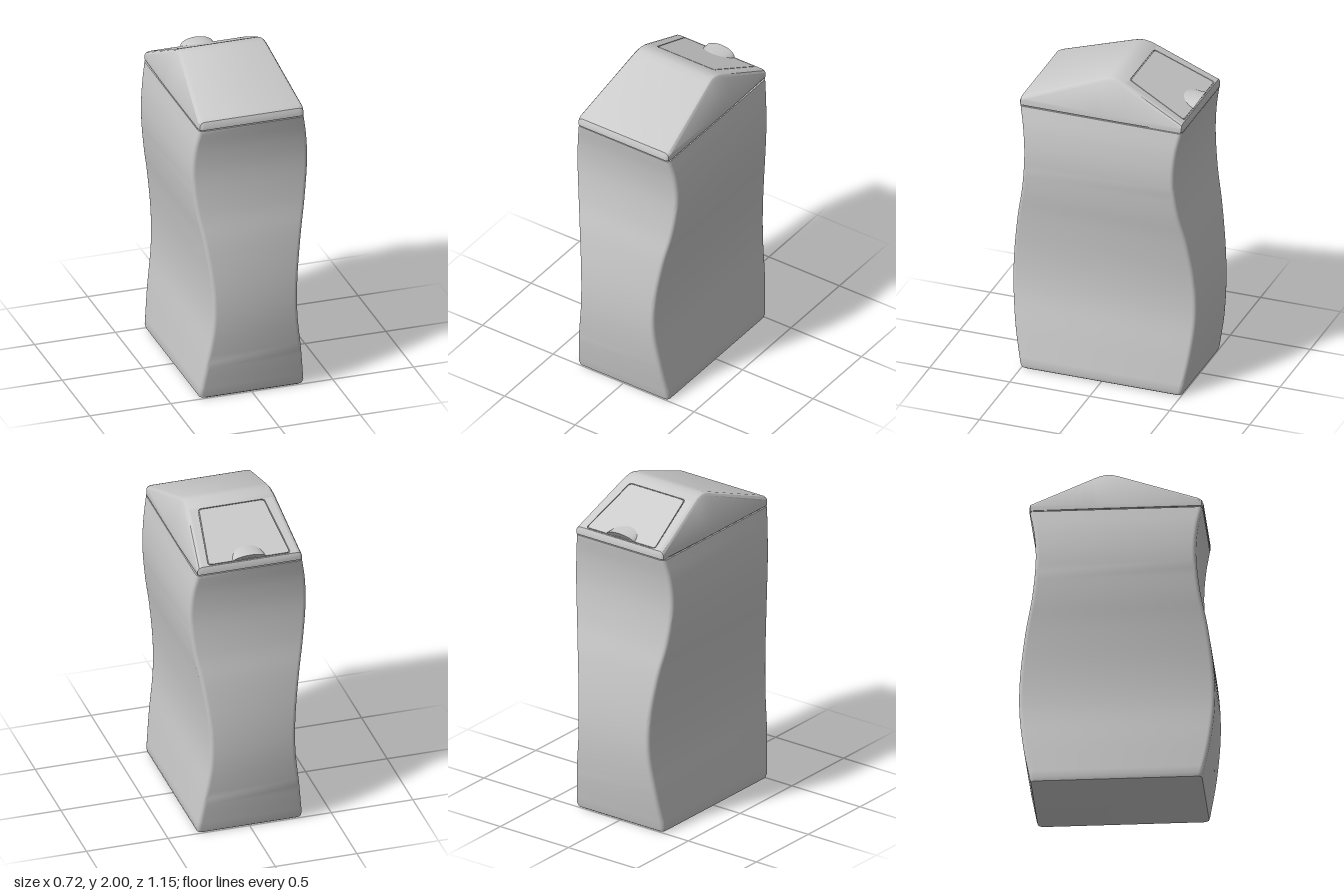
import * as THREE from 'three';
import { toCreasedNormals } from 'three/addons/utils/BufferGeometryUtils.js';

const V = (x, y, z) => new THREE.Vector3(x, y, z);
const mat = new THREE.MeshStandardMaterial({ color: 0xcccccc });

function add(parent, name, geo) {
  const m = new THREE.Mesh(geo, mat);
  m.name = name;
  parent.add(m);
  return m;
}

// Skin closed rings of points and cap both ends; skip(i, j) leaves a quad open
function loft(rings, crease = 0.6, skip = () => false) {
  const n = rings[0].length, pos = [], idx = [];
  rings.flat().forEach((p) => pos.push(p.x, p.y, p.z));
  for (let i = 0; i < rings.length - 1; i++) {
    for (let j = 0; j < n; j++) {
      if (skip(i, j)) continue;
      const a = i * n + j, b = i * n + (j + 1) % n;
      idx.push(a, b, b + n, a, b + n, a + n);
    }
  }
  const last = (rings.length - 1) * n;
  for (let j = 1; j < n - 1; j++) {
    idx.push(0, j + 1, j, last, last + j, last + j + 1);
  }
  const g = new THREE.BufferGeometry();
  g.setAttribute('position', new THREE.Float32BufferAttribute(pos, 3));
  g.setIndex(idx);
  return toCreasedNormals(g, crease);
}

// Horizontal rounded rectangle
function bodyRing(hx, hz, y, r) {
  const pts = [];
  [[1, -1], [-1, -1], [-1, 1], [1, 1]].forEach(([sx, sz], q) => {
    for (let k = 0; k <= 4; k++) {
      const t = (q + k / 4) * Math.PI / 2;
      pts.push(V(sx * (hx - r) + r * Math.cos(t), y, sz * (hz - r) - r * Math.sin(t)));
    }
  });
  return pts;
}

// Lid cross-section at depth z with roof height h
const lidHalf = (y) => 0.325 - Math.max(0, y - 1.785) * 0.27;
function lidRing([z, h, inset]) {
  const half = [
    [0.325, 1.75], [0.325, Math.min(1.78, h - 0.023)], [lidHalf(h - 0.02), h - 0.02],
    [lidHalf(h) - 0.006, h - 0.006], [lidHalf(h) - 0.022, h],
  ].map(([x, y]) => [x - inset, y]);
  return [...half.map(([x, y]) => V(x, y, z)),
    ...half.reverse().map(([x, y]) => V(-x, y, z))];
}

// Trapezoid with rounded corners, grown outward by g
function doorOutline(g, Type) {
  const c = [[-0.2 - g, 0.006 - g], [0.2 + g, 0.006 - g], [0.25 + g, 0.399 + g], [-0.25 - g, 0.399 + g]]
    .map(([x, y]) => new THREE.Vector2(x, y));
  const s = new Type();
  c.forEach((p, i) => {
    const toward = (q) => p.clone().add(q.clone().sub(p).setLength(0.02));
    const a = toward(c[(i + 3) % 4]), b = toward(c[(i + 1) % 4]);
    if (i) s.lineTo(a.x, a.y); else s.moveTo(a.x, a.y);
    s.quadraticCurveTo(p.x, p.y, b.x, b.y);
  });
  s.closePath();
  return s;
}

export function createModel() {
  const model = new THREE.Group();
  model.name = 'swingLidBin';

  // Body: the width and depth swell in opposite rhythm up the height
  const curve = new THREE.CatmullRomCurve3([
    [0.323, 0.03, 0.508], [0.295, 0.25, 0.548], [0.264, 0.5, 0.573], [0.266, 0.72, 0.568],
    [0.3, 1.0, 0.532], [0.336, 1.2, 0.492], [0.359, 1.43, 0.47], [0.35, 1.6, 0.48], [0.325, 1.742, 0.506],
  ].map((p) => V(...p)));
  const rings = [bodyRing(0.305, 0.49, 0, 0.02), bodyRing(0.317, 0.502, 0.008, 0.025)];
  curve.getPoints(40).forEach((p) => rings.push(bodyRing(p.x, p.z, p.y, 0.025)));
  add(model, 'body', loft(rings));

  // Recessed seam between body and lid
  add(model, 'seam', new THREE.BoxGeometry(0.63, 0.03, 0.99)).position.y = 1.746;

  // Lid: roof sections from back to front, left open where the door panel sits
  const lid = new THREE.Group();
  lid.name = 'lid';
  model.add(lid);
  const top = [-0.135, 1.975, 0], low = [-0.503, 1.797, 0.006];
  const sections = [
    [-0.51, 1.778, 0.018], low, top, [-0.1, 1.991, 0], [-0.06, 2, 0], [-0.03, 1.999, 0],
    [0.01, 1.987, 0], [0.475, 1.812, 0], [0.5, 1.798, 0.006], [0.51, 1.775, 0.018],
  ];
  add(lid, 'lidShell', loft(sections.map(lidRing), 0.5, (i, j) => i === 1 && j === 4));

  // Back slope: local x across, y down the slope, z outward
  const slope = new THREE.Group();
  slope.name = 'backSlope';
  lid.add(slope);
  const across = V(1, 0, 0);
  const down = V(0, low[1] - top[1], low[0] - top[0]);
  const len = down.length();
  down.normalize();
  const out = across.clone().cross(down);
  slope.applyMatrix4(new THREE.Matrix4().makeBasis(across, down, out).setPosition(0, top[1], top[0]));
  const topX = lidRing(top)[4].x, lowX = lidRing(low)[4].x;
  const frame = new THREE.Shape([[-topX, 0], [topX, 0], [lowX, len], [-lowX, len]]
    .map((p) => new THREE.Vector2(...p)));
  frame.holes.push(doorOutline(0.003, THREE.Path));
  const plate = (name, shape, depth, z) => {
    const g = new THREE.ExtrudeGeometry(shape, { depth, bevelEnabled: false, curveSegments: 6 });
    add(slope, name, g).position.z = z;
  };
  plate('doorFrame', frame, 0.01, -0.01);
  plate('door', doorOutline(-0.002, THREE.Shape), 0.01, -0.01);
  plate('doorSeat', doorOutline(0.003, THREE.Shape), 0.003, -0.012);

  // Finger tab: a shallow scoop flaring out from the lower door edge
  const slopeY = (z) => top[1] + (z - top[0]) * down.y / down.z;
  const tab = [];
  for (let k = 0; k <= 14; k++) {
    const t = k / 14 * Math.PI, s = Math.sin(t), x = 0.1 * Math.cos(t);
    const zb = -0.497 + 0.09 * s, y0 = slopeY(-0.497);
    tab.push([
      V(x, slopeY(zb), zb),
      V(x, y0 + (1.838 - y0) * s, -0.497 - 0.02 * s),
      V(x, y0 - 0.002, -0.497 + 0.01 * s),
    ]);
  }
  add(lid, 'fingerTab', loft(tab, 0.5));

  return model;
}
